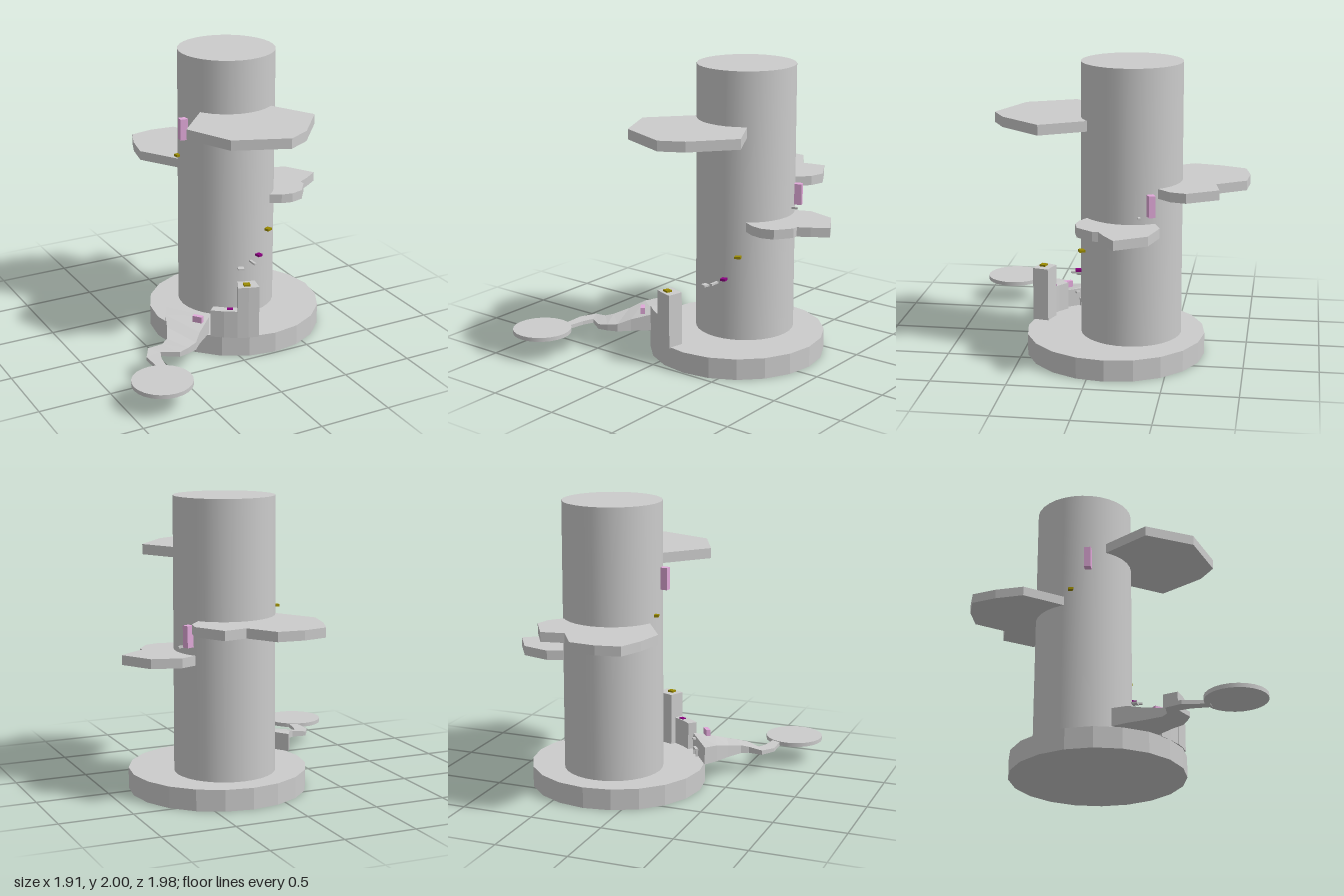
import * as THREE from 'three';

const mat = (color) => new THREE.MeshStandardMaterial({ color });
const grey = mat(0xcccccc);
const flatGrey = new THREE.MeshStandardMaterial({ color: 0xcccccc, flatShading: true });
const pink = mat(0xe0a8d8), gold = mat(0x9a8a00), plum = mat(0x8a0080);

const TRUNK = { x: 0.243, z: -0.222 };
const BASE = { x: 0.253, z: -0.118, r: 0.606 };

function add(group, name, geometry, material, x = 0, y = 0, z = 0, turn = 0) {
  const mesh = new THREE.Mesh(geometry, material);
  mesh.name = name;
  mesh.position.set(x, y, z);
  mesh.rotation.y = turn;
  group.add(mesh);
}

// Flat slab from an outline of [x, z] points, between two heights
function slab(points, y0, y1) {
  const shape = new THREE.Shape(points.map(([x, z]) => new THREE.Vector2(x, -z)));
  const g = new THREE.ExtrudeGeometry(shape, { depth: y1 - y0, bevelEnabled: false });
  return g.rotateX(-Math.PI / 2).translate(0, y0, 0);
}

// Wedge of the base rim between two angles, measured from the front towards -x
function rimStep(a0, a1, rIn, rOut, y0, y1) {
  const at = (r, deg) => {
    const a = THREE.MathUtils.degToRad(deg);
    return [BASE.x - Math.sin(a) * r, BASE.z + Math.cos(a) * r];
  };
  const mid = (a0 + a1) / 2;
  return slab([at(rOut, a0), at(rOut, mid), at(rOut, a1), at(rIn, a1), at(rIn, mid), at(rIn, a0)], y0, y1);
}

// Closed loft through rows of [ax, az, ayTop, bx, bz, byTop] with a flat underside
function rampGeometry(rows, yBottom) {
  const pos = [], index = [];
  for (const [ax, az, ay, bx, bz, by] of rows)
    pos.push(ax, ay, az, bx, by, bz, bx, yBottom, bz, ax, yBottom, az);
  for (let i = 0; i < rows.length - 1; i++)
    for (let k = 0; k < 4; k++) {
      const p = i * 4 + k, q = i * 4 + (k + 1) % 4;
      index.push(p, q, q + 4, p, q + 4, p + 4);
    }
  const e = (rows.length - 1) * 4;
  index.push(0, 2, 1, 0, 3, 2, e, e + 1, e + 2, e, e + 2, e + 3);
  const g = new THREE.BufferGeometry();
  g.setAttribute('position', new THREE.Float32BufferAttribute(pos, 3));
  g.setIndex(index);
  const flat = g.toNonIndexed();
  flat.computeVertexNormals();
  return flat;
}

export function createModel() {
  const model = new THREE.Group();
  model.name = 'towerCourse';

  // Round base and tall column
  add(model, 'base', new THREE.CylinderGeometry(BASE.r, BASE.r, 0.145, 20), flatGrey, BASE.x, 0.0725, BASE.z, Math.PI / 2);
  add(model, 'column', new THREE.CylinderGeometry(0.337, 0.342, 1.9, 32), grey, TRUNK.x, 1.05, TRUNK.z);

  // Irregular platforms growing out of the column
  add(model, 'frontPlatform', slab([
    [-0.05, -0.05], [-0.295, 0.23], [-0.145, 0.56], [0.22, 0.705],
    [0.38, 0.62], [0.61, 0.345], [0.445, 0.05],
  ], 1.56, 1.63), grey);
  add(model, 'leftPlatform', slab([
    [0.445, 0.05], [0.52, 0.09], [0.6, 0.105], [0.69, 0.08], [0.77, -0.03],
    [0.77, -0.07], [0.85, -0.115], [0.955, -0.19], [0.83, -0.395], [0.635, -0.45], [0.51, -0.4],
  ], 0.915, 0.98), grey);
  add(model, 'backPlatform', slab([
    [-0.075, -0.34], [-0.24, -0.605], [-0.2, -0.8], [-0.135, -0.965], [0.03, -1], [0.21, -0.985],
    [0.335, -0.79], [0.495, -0.82], [0.615, -0.615], [0.59, -0.51], [0.51, -0.42],
  ], 1.145, 1.21), grey);

  // Steps along the base rim
  add(model, 'tallStep', rimStep(12, 26, 0.5, 0.61, 0.14, 0.515), grey);
  add(model, 'middleStep', rimStep(26, 43.6, 0.54, 0.606, 0.14, 0.338), grey);

  // Winding ramp down to the landing disc
  add(model, 'ramp', rampGeometry([
    [-0.705, 0.62, 0.172, -0.65, 0.64, 0.172],
    [-0.71, 0.445, 0.172, -0.63, 0.505, 0.172],
    [-0.65, 0.345, 0.178, -0.6, 0.43, 0.175],
    [-0.55, 0.355, 0.19, -0.49, 0.5, 0.18],
    [-0.5, 0.325, 0.205, -0.42, 0.485, 0.19],
    [-0.445, 0.215, 0.23, -0.35, 0.46, 0.2],
    [-0.4, 0.1, 0.262, -0.285, 0.39, 0.23],
    [-0.345, 0, 0.27, -0.155, 0.28, 0.27],
  ], 0.146), grey);
  add(model, 'landingDisc', new THREE.CylinderGeometry(0.202, 0.202, 0.028, 24), grey, -0.758, 0.163, 0.782);

  // Small holds, pegs and blocks: name, material, size, position, turn
  const blocks = [
    ['tallStepHold', gold, [0.045, 0.015, 0.04], [0.062, 0.52, 0.415], -0.3],
    ['middleStepHold', plum, [0.04, 0.01, 0.03], [-0.04, 0.339, 0.365], -0.5],
    ['rampBlock', pink, [0.07, 0.045, 0.03], [-0.252, 0.285, 0.3], -0.9],
    ['lowHold', plum, [0.036, 0.016, 0.04], [0.32, 0.577, 0.128], 0.2],
    ['middleHold', gold, [0.042, 0.016, 0.04], [0.41, 0.742, 0.092], 0.4],
    ['rightHold', gold, [0.03, 0.016, 0.035], [-0.103, 1.255, -0.293], 0.2],
    ['rightBlock', pink, [0.055, 0.15, 0.048], [-0.115, 1.485, -0.175], -0.1],
    ['leftBlock', pink, [0.055, 0.145, 0.045], [0.567, 1.107, -0.385], 0.4],
    ['leftPeg', grey, [0.06, 0.014, 0.016], [0.582, 1.027, -0.31], 0.2],
    ['frontPeg', grey, [0.018, 0.013, 0.08], [0.257, 0.541, 0.15], 0],
    ['frontPeg', grey, [0.045, 0.013, 0.04], [0.17, 0.507, 0.14], -0.3],
    ['rampRung', grey, [0.03, 0.012, 0.03], [-0.19, 0.25, 0.217], -0.9],
    ['frameBar', grey, [0.02, 0.012, 0.07], [-0.215, 0.195, 0.17], 0.6],
    ['frameLeg', grey, [0.015, 0.05, 0.012], [-0.23, 0.17, 0.148], 0.6],
    ['frameLeg', grey, [0.015, 0.05, 0.012], [-0.2, 0.17, 0.192], 0.6],
  ];
  for (const [name, material, size, position, turn] of blocks)
    add(model, name, new THREE.BoxGeometry(...size), material, ...position, turn);

  return model;
}
